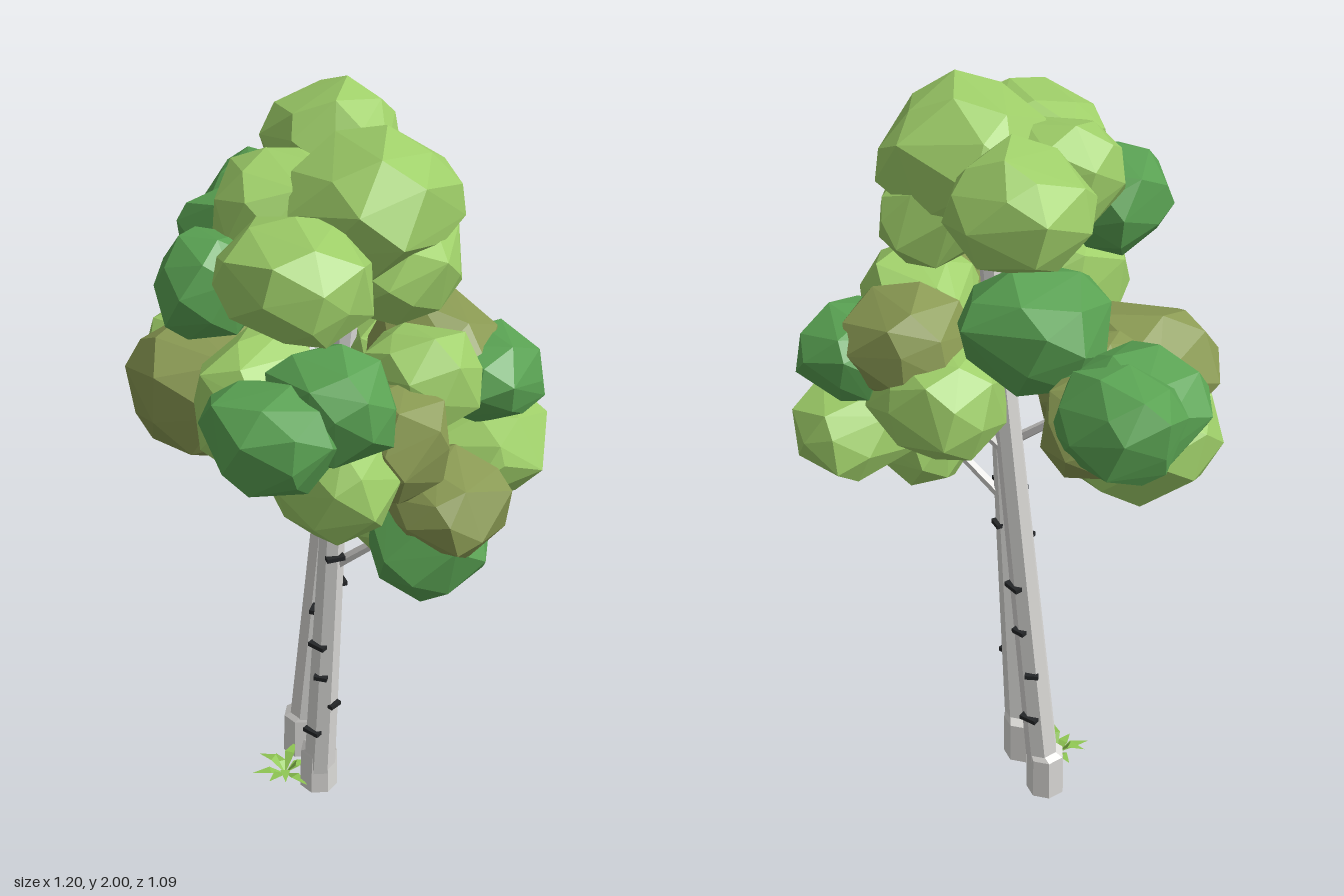
import * as THREE from 'three';
import { ConvexGeometry } from 'three/addons/geometries/ConvexGeometry.js';

const mat = (name, color, extra = {}) => {
  const m = new THREE.MeshStandardMaterial({ color, flatShading: true, ...extra });
  m.name = name;
  return m;
};

// Leaf clumps per colour: centre x, y, z then half sizes x, y, z
const LIGHT = [
  [-0.09, 1.85, -0.25, 0.17, 0.14, 0.16], [0.16, 1.84, -0.04, 0.20, 0.16, 0.19],
  [0.18, 1.75, 0.23, 0.17, 0.13, 0.16], [0.24, 1.69, -0.09, 0.14, 0.12, 0.18],
  [-0.03, 1.79, 0.04, 0.15, 0.14, 0.16], [-0.32, 1.23, -0.07, 0.19, 0.15, 0.17],
  [0.06, 1.39, 0.21, 0.13, 0.16, 0.17], [0.31, 1.28, 0.24, 0.15, 0.15, 0.14],
  [0.32, 1.0, -0.07, 0.14, 0.12, 0.13], [0.38, 1.14, -0.27, 0.16, 0.12, 0.19],
  [0.13, 1.28, -0.26, 0.16, 0.13, 0.15], [0.31, 1.42, -0.08, 0.15, 0.12, 0.13],
];
const DARK = [
  [-0.07, 1.66, 0.23, 0.12, 0.13, 0.14], [-0.15, 1.57, -0.26, 0.17, 0.14, 0.165],
  [-0.43, 1.46, -0.28, 0.17, 0.13, 0.16], [-0.45, 1.50, -0.42, 0.15, 0.125, 0.13],
  [0.25, 1.455, 0.40, 0.16, 0.12, 0.14], [0.31, 1.485, 0.26, 0.15, 0.14, 0.14],
  [0.43, 1.045, 0.03, 0.15, 0.13, 0.16], [0.37, 1.34, -0.28, 0.13, 0.11, 0.14],
];
const OLIVE = [
  [-0.22, 1.27, 0.10, 0.19, 0.18, 0.18], [-0.20, 1.36, -0.10, 0.15, 0.11, 0.14],
  [-0.38, 1.445, -0.36, 0.125, 0.115, 0.17], [0.36, 1.32, 0.08, 0.13, 0.14, 0.13],
  [0.46, 1.15, 0.0, 0.14, 0.11, 0.15], [0.24, 1.39, -0.24, 0.17, 0.14, 0.15],
];

// Trunks: foot, tip, and dashes as height and angle
const TRUNKS = [
  { name: 'leftTrunk', foot: [-0.085, 0, -0.125], tip: [0.055, 1.75, -0.16],
    marks: [[0.27, 3.1], [0.42, 3.6], [0.56, 3.0], [0.7, 2.8], [0.83, 0], [0.97, 0.2], [1.53, 2.6]] },
  { name: 'rightTrunk', foot: [0.045, 0, -0.037], tip: [0.165, 1.36, 0.045],
    marks: [[0.23, 0], [0.33, 1.5], [0.44, 0.4], [0.55, 0], [0.65, -1.2], [0.75, 2.6], [0.86, 1.0], [1.07, 0.2]] },
];
const R0 = 0.045, R1 = 0.028, SIDES = 7;

// Irregular, slightly boxy faceted clump, fitted to its box
function clump([x, y, z, rx, ry, rz], seed) {
  let s = seed * 7919 + 13;
  const rnd = () => (s = (s * 16807) % 2147483647) / 2147483647;
  for (let i = 0; i < 5; i++) rnd();
  const boxy = (v) => Math.sign(v) * Math.abs(v) ** 0.86;
  const n = 27, spin = rnd() * 6.28, pts = [];
  for (let i = 0; i < n; i++) {
    const h = 1 - (2 * i + 1) / n, a = i * 2.39996 + spin + (rnd() - 0.5) * 0.6;
    const r = Math.sqrt(1 - h * h), k = 0.9 + rnd() * 0.16;
    pts.push(new THREE.Vector3(boxy(r * Math.cos(a)) * k, boxy(h) * k, boxy(r * Math.sin(a)) * k));
  }
  const box = new THREE.Box3().setFromPoints(pts);
  const c = box.getCenter(new THREE.Vector3()), d = box.getSize(new THREE.Vector3());
  const g = new ConvexGeometry(pts);
  g.translate(-c.x, -c.y, -c.z);
  g.scale(2 * rx / d.x, 2 * ry / d.y, 2 * rz / d.z);
  g.translate(x, y, z);
  return g;
}

// Upright cylinder sheared so its ends stay level
function leaning(r0, r1, a, b) {
  const h = b.y - a.y;
  const g = new THREE.CylinderGeometry(r1, r0, h, SIDES, 1, false, Math.PI / SIDES - 0.15);
  g.translate(0, h / 2, 0);
  const p = g.attributes.position;
  for (let i = 0; i < p.count; i++) {
    const t = p.getY(i) / h;
    p.setX(i, p.getX(i) + a.x + (b.x - a.x) * t);
    p.setZ(i, p.getZ(i) + a.z + (b.z - a.z) * t);
    p.setY(i, p.getY(i) + a.y);
  }
  g.computeVertexNormals();
  return g;
}

export function createModel() {
  const tree = new THREE.Group();
  tree.name = 'twinTrunkTree';
  const bark = mat('bark', 0xdcdbd8), dash = mat('barkMark', 0x242628);
  const grass = mat('grass', 0x8fc653, { side: THREE.DoubleSide });
  const add = (name, geo, material, parent = tree) => {
    const m = new THREE.Mesh(geo, material);
    m.name = name;
    parent.add(m);
    return m;
  };

  // Trunks with upright thicker feet and dark bark dashes
  for (const t of TRUNKS) {
    const g = new THREE.Group();
    g.name = t.name;
    tree.add(g);
    const a = new THREE.Vector3(...t.foot), b = new THREE.Vector3(...t.tip);
    const at = (y) => a.clone().lerp(b, y / b.y);
    const ankle = a.clone().setY(0.125);
    add('stem', leaning(R0, R1, a, b), bark, g);
    add('foot', leaning(0.053, 0.051, a, ankle), bark, g);
    add('footCollar', leaning(0.051, 0.042, ankle, at(0.14)), bark, g);
    t.marks.forEach(([y, ang], i) => {
      const c = at(y), r = (R0 + (R1 - R0) * y / b.y) * 0.95;
      const m = add('barkMark', new THREE.BoxGeometry(i % 3 ? 0.036 : 0.048, 0.012, 0.02), dash, g);
      m.position.set(c.x + Math.sin(ang) * r, y, c.z + Math.cos(ang) * r);
      m.rotation.y = ang;
    });
  }

  // Branches
  const BRANCHES = [
    [[0.12, 0.81, 0.01], [0.32, 1.0, -0.03]], [[0.14, 0.97, 0.02], [-0.18, 1.23, 0.06]],
    [[0.0, 1.08, -0.14], [0.14, 1.25, -0.22]], [[0.02, 1.33, -0.15], [-0.4, 1.53, -0.36]],
    [[0.04, 1.5, -0.155], [0.06, 1.7, 0.12]], [[0.14, 1.1, 0.03], [0.34, 1.3, 0.1]],
  ];
  for (const [p, q] of BRANCHES) {
    const a = new THREE.Vector3(...p), b = new THREE.Vector3(...q), d = b.clone().sub(a);
    const m = add('branch', new THREE.CylinderGeometry(0.01, 0.015, d.length(), 5), bark);
    m.position.copy(a).add(b).multiplyScalar(0.5);
    m.quaternion.setFromUnitVectors(new THREE.Vector3(0, 1, 0), d.normalize());
  }

  // Foliage
  let seed = 1;
  for (const [name, list, material] of [
    ['lightLeaves', LIGHT, mat('lightLeaf', 0x9fcf69)],
    ['darkLeaves', DARK, mat('darkLeaf', 0x5aa353)],
    ['oliveLeaves', OLIVE, mat('oliveLeaf', 0x8a9a53)],
  ]) {
    const g = new THREE.Group();
    g.name = name;
    tree.add(g);
    for (const c of list) add('leafClump', clump(c, seed++), material, g);
  }

  // Grass tuft of bent pointed blades
  const tuft = new THREE.Group();
  tuft.name = 'grassTuft';
  tuft.position.set(-0.045, 0.004, 0.0);
  tree.add(tuft);
  for (let i = 0; i < 9; i++) {
    const len = 0.07 + (i % 3) * 0.012, up = 0.02 + (i % 2) * 0.024;
    const g = new THREE.BufferGeometry();
    g.setAttribute('position', new THREE.Float32BufferAttribute([
      0, 0, 0, -0.014, up, len * 0.45, 0.014, up, len * 0.45, 0, up * 0.9, len], 3));
    g.setIndex([0, 1, 2, 2, 1, 3]);
    g.computeVertexNormals();
    add('grassBlade', g, grass, tuft).rotation.y = i * 0.7;
  }
  return tree;
}
